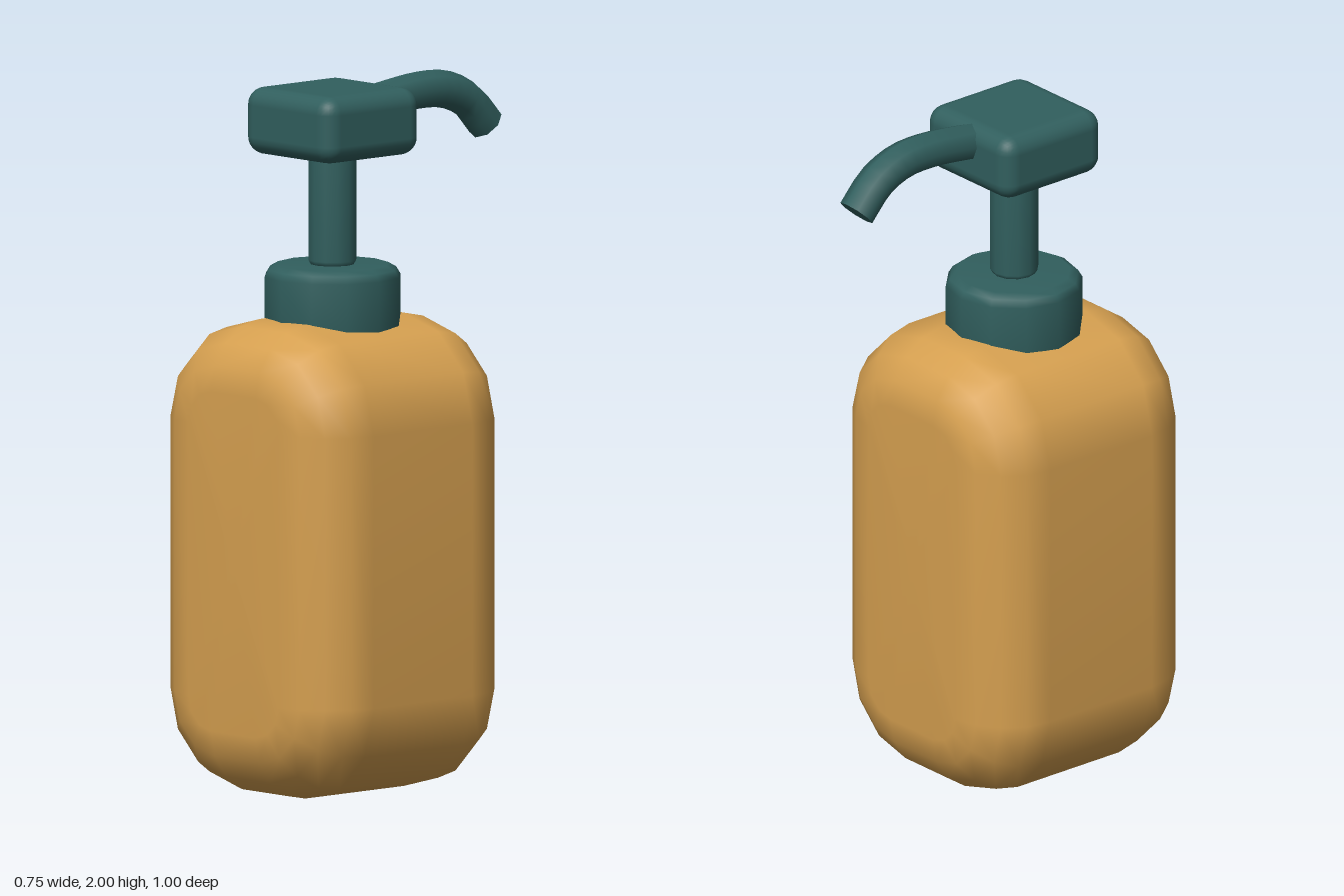
import * as THREE from 'three';
import { RoundedBoxGeometry } from 'three/addons/geometries/RoundedBoxGeometry.js';

const AXIS_Z = 0.123;

// Rounded-rectangle loop, counter-clockwise seen from the front
function roundedLoop(halfW, halfH, radius, segments) {
  const points = [];
  for (let corner = 0; corner < 4; corner++) {
    const sx = corner === 0 || corner === 3 ? 1 : -1;
    const sy = corner < 2 ? 1 : -1;
    for (let i = 0; i <= segments; i++) {
      const a = (corner + i / segments) * Math.PI / 2;
      points.push([
        sx * (halfW - radius) + radius * Math.cos(a),
        sy * (halfH - radius) + radius * Math.sin(a),
      ]);
    }
  }
  return points;
}

// Pillow-edged block: loops inset along a quarter round at front and back
function bottleGeometry(halfW, halfH, halfD, corner, bevel) {
  const steps = 4;
  const sections = [];
  for (let i = 0; i <= steps; i++) {
    const a = (i / steps) * Math.PI / 2;
    sections.push([halfD - bevel * (1 - Math.cos(a)), bevel * (1 - Math.sin(a))]);
  }
  for (let i = steps; i >= 0; i--) sections.push([-sections[i][0], sections[i][1]]);

  const positions = [];
  const indices = [];
  for (const [z, inset] of sections) {
    for (const [x, y] of roundedLoop(halfW - inset, halfH - inset, corner - inset, 3)) {
      positions.push(x, y, z);
    }
  }
  const n = 16;
  const last = (sections.length - 1) * n;
  const front = sections.length * n;
  const back = front + 1;
  positions.push(0, 0, halfD, 0, 0, -halfD);
  for (let j = 0; j < n; j++) {
    const k = (j + 1) % n;
    for (let r = 0; r < last; r += n) {
      indices.push(r + j, r + n + j, r + k, r + k, r + n + j, r + n + k);
    }
    indices.push(front, j, k, back, last + k, last + j);
  }
  const geometry = new THREE.BufferGeometry();
  geometry.setAttribute('position', new THREE.Float32BufferAttribute(positions, 3));
  geometry.setIndex(indices);
  geometry.computeVertexNormals();
  return geometry;
}

function lathe(profile, sides) {
  return new THREE.LatheGeometry(profile.map(([r, y]) => new THREE.Vector2(r, y)), sides);
}

export function createModel() {
  const group = new THREE.Group();
  const amber = new THREE.MeshStandardMaterial({ color: 0xd6a050 });
  const teal = new THREE.MeshStandardMaterial({ color: 0x315f5e });

  function add(name, geometry, material, y = 0, z = 0) {
    const mesh = new THREE.Mesh(geometry, material);
    mesh.name = name;
    mesh.position.set(0, y, z);
    group.add(mesh);
    return mesh;
  }

  // Soft-edged bottle
  add('bottle', bottleGeometry(0.377, 0.67, 0.377, 0.285, 0.19), amber, 0.67, AXIS_Z);

  // Bevelled collar and pump stem
  add('collar', lathe([
    [0, 1.3], [0.18, 1.3], [0.195, 1.315], [0.195, 1.455],
    [0.183, 1.475], [0.16, 1.488], [0, 1.488],
  ], 12), teal, 0, AXIS_Z);
  add('stem', lathe([
    [0, 1.48], [0.06, 1.485], [0.069, 1.5], [0.069, 1.79], [0.06, 1.81], [0, 1.81],
  ], 12), teal, 0, AXIS_Z);

  // Pump head
  add('pumpHead', new RoundedBoxGeometry(0.364, 0.19, 0.364, 3, 0.05), teal, 1.893, AXIS_Z);

  // Curved spout with a closed tip
  const path = new THREE.CatmullRomCurve3([
    [1.92, 0.02], [1.933, -0.06], [1.948, -0.2], [1.942, -0.3], [1.905, -0.385], [1.83, -0.458],
  ].map(([y, z]) => new THREE.Vector3(0, y, z)));
  add('spout', new THREE.TubeGeometry(path, 14, 0.053, 8), teal);
  const end = path.getPoint(1);
  const tip = add('spoutTip', new THREE.CircleGeometry(0.053, 8), teal, end.y, end.z);
  tip.lookAt(end.clone().add(path.getTangent(1)));

  return group;
}
